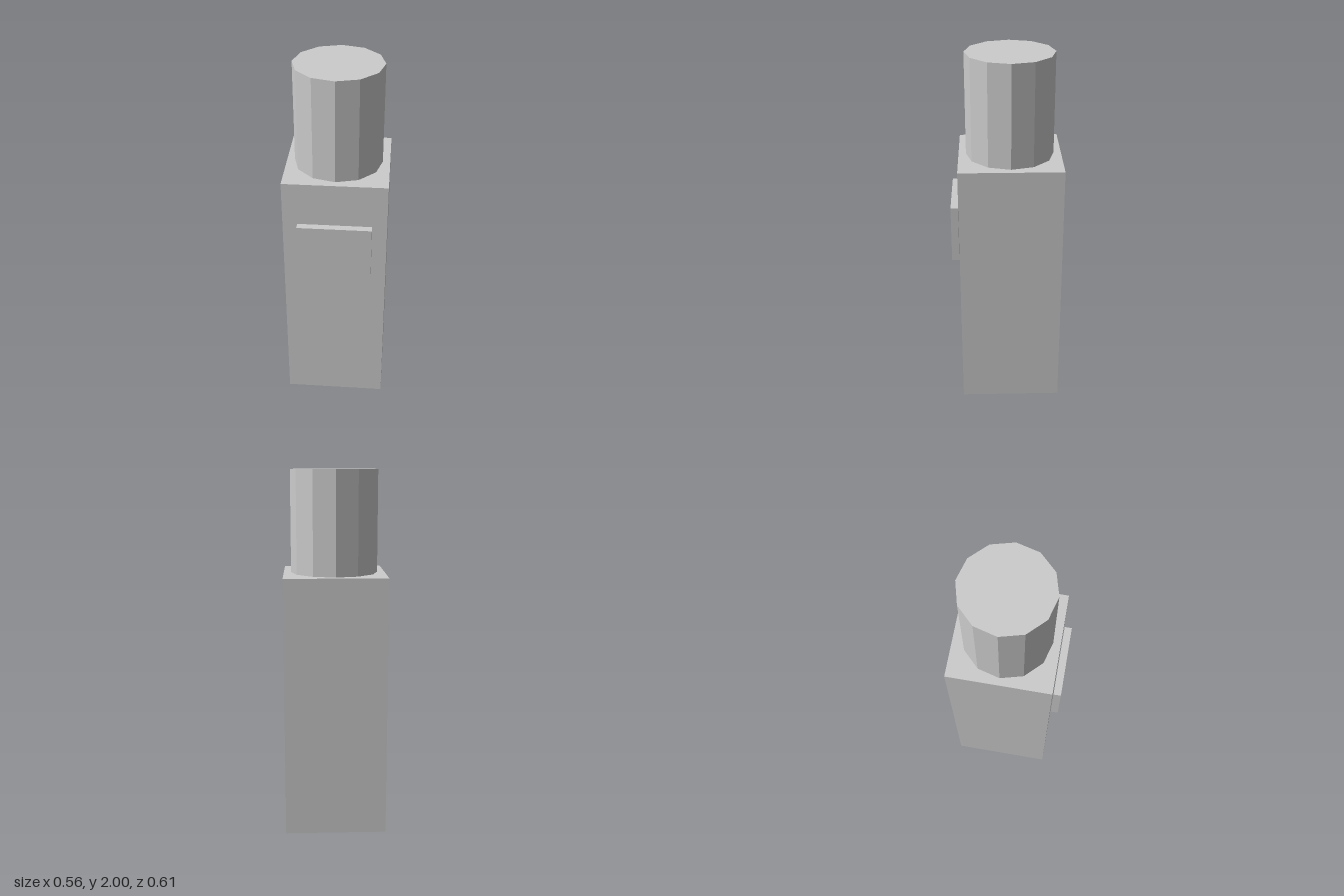
import * as THREE from 'three';

export function createModel() {
  const model = new THREE.Group();
  const grey = new THREE.MeshStandardMaterial({ color: 0xcccccc, flatShading: true });
  grey.name = 'light grey';

  // Adds a named part, placed by the height of its underside
  const add = (name, geometry, bottom, height, z) => {
    const mesh = new THREE.Mesh(geometry, grey);
    mesh.name = name;
    mesh.position.set(0, bottom + height / 2, z);
    model.add(mesh);
  };

  const axisZ = -0.0225;

  // Square pillar
  add('body', new THREE.BoxGeometry(0.56, 1.44, 0.56), 0, 1.44, axisZ);

  // Twelve-sided top, with a corner facing the front
  add('cap', new THREE.CylinderGeometry(0.24, 0.24, 0.56, 12), 1.44, 0.56, axisZ);

  // Front plate, standing just clear of the body
  add('frontPanel', new THREE.BoxGeometry(0.4, 0.32, 0.04), 0.88, 0.32, 0.2825);

  return model;
}
